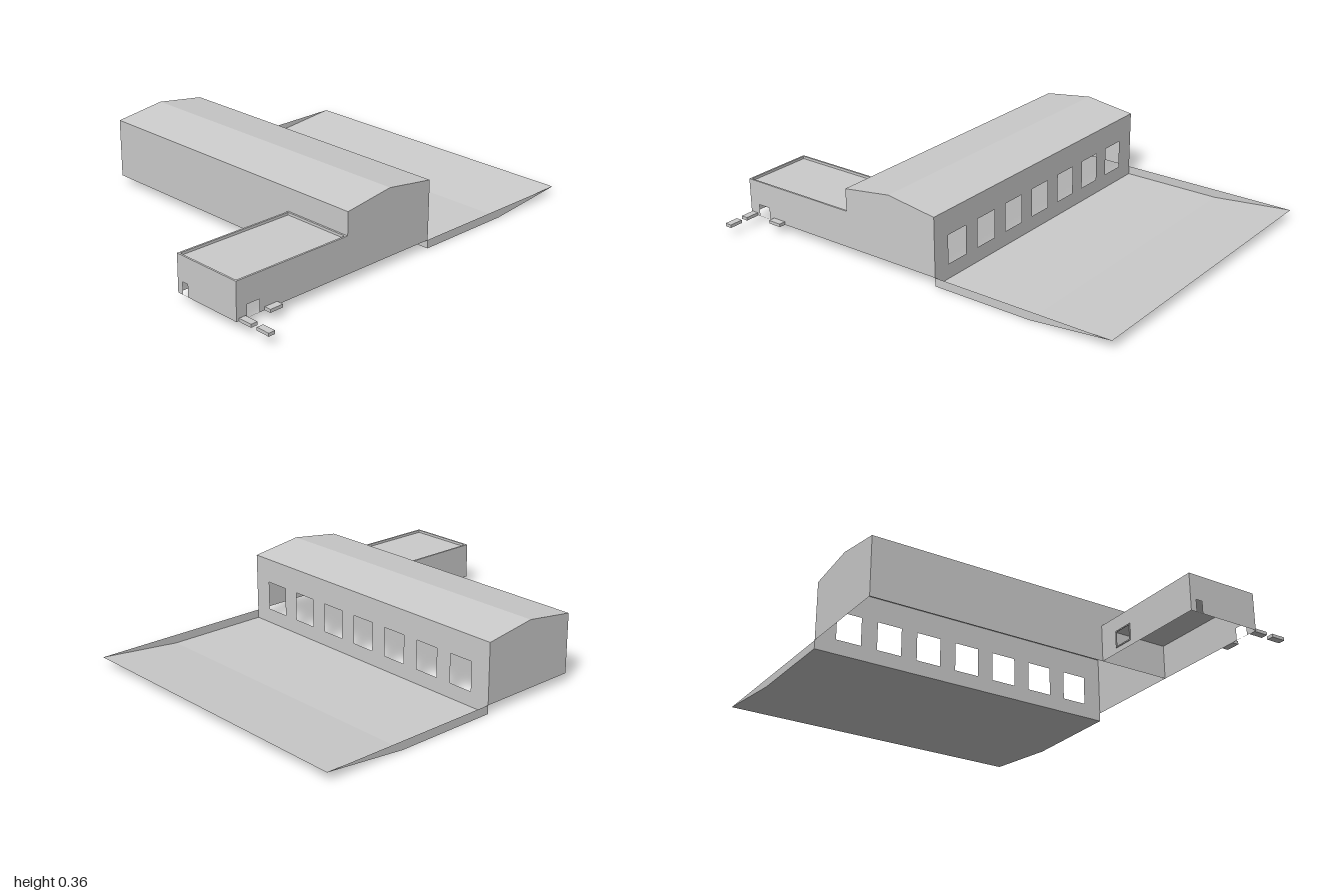
import * as THREE from 'three';

const X0 = -0.855, X1 = 0.677;            // hall and ramp width
const Z0 = -0.107, Z1 = 0.392;            // hall depth
const FLOOR = 0.04, EAVE = 0.323, RIDGE = 0.358;
const AX0 = 0.322, AZ1 = 1, AROOF = 0.203, ATOP = 0.215; // annex

const material = new THREE.MeshStandardMaterial({
  color: 0xcccccc, flatShading: true, side: THREE.DoubleSide,
});

export function createModel() {
  const model = new THREE.Group();

  const add = (parent, name, geometry) => {
    const mesh = new THREE.Mesh(geometry, material);
    mesh.name = name;
    parent.add(mesh);
    return mesh;
  };

  const group = (name) => {
    const g = new THREE.Group();
    g.name = name;
    model.add(g);
    return g;
  };

  const outline = (pts) => pts.map(([a, b]) => new THREE.Vector2(a, b));
  const rect = (a0, b0, a1, b1) => [[a0, b0], [a1, b0], [a1, b1], [a0, b1]];

  // Flat sheet with openings, drawn in (a, y)
  const sheet = (pts, holes = []) => {
    const shape = new THREE.Shape(outline(pts));
    holes.forEach((h) => shape.holes.push(new THREE.Path(outline(h))));
    return new THREE.ShapeGeometry(shape);
  };

  // Wall across the model at a given z, and wall along it at a given x
  const wallAtZ = (parent, name, z, pts, holes) =>
    add(parent, name, sheet(pts, holes).translate(0, 0, z));
  const wallAtX = (parent, name, x, pts, holes) =>
    add(parent, name, sheet(pts, holes).rotateY(-Math.PI / 2).translate(x, 0, 0));

  // Folded sheet: a (z, y) profile swept along x
  const foldedSheet = (profile) => {
    const geometry = new THREE.PlaneGeometry(1, 1, 1, profile.length - 1);
    const p = geometry.attributes.position;
    for (let i = 0; i < p.count; i++) {
      const [z, y] = profile[Math.floor(i / 2)];
      p.setXYZ(i, i % 2 ? X1 : X0, y, z);
    }
    const flat = geometry.toNonIndexed();
    flat.computeVertexNormals();
    return flat;
  };

  // Main hall with a shallow gabled roof, open underneath
  const hall = group('hall');
  const mid = (Z0 + Z1) / 2;
  const gable = [[Z0, EAVE], [mid, RIDGE], [Z1, EAVE]];
  const dockDoors = [];
  for (let i = 0; i < 7; i++) {
    const x = 0.525 - i * 0.203;
    dockDoors.push(rect(x - 0.061, 0.07, x + 0.061, 0.207));
  }
  add(hall, 'hallRoof', foldedSheet(gable));
  wallAtZ(hall, 'hallFrontWall', Z1, rect(X0, FLOOR, X1, EAVE));
  wallAtZ(hall, 'hallBackWall', Z0, rect(X0, FLOOR, X1, EAVE), dockDoors);
  for (const [name, x] of [['hallRightWall', X0], ['hallLeftWall', X1]]) {
    wallAtX(hall, name, x, [[Z1, FLOOR], [Z0, FLOOR], ...gable]);
  }

  // Sunken loading ramp behind the hall
  const ramp = group('loadingRamp');
  const slope = [[-1, FLOOR], [-0.6, 0], [Z0, 0]];
  add(ramp, 'rampFloor', foldedSheet(slope));
  wallAtZ(ramp, 'rampEndWall', Z0, rect(X0, 0, X1, FLOOR));
  for (const [name, x] of [['rampRightWall', X0], ['rampLeftWall', X1]]) {
    wallAtX(ramp, name, x, [...slope, [Z0, FLOOR]]);
  }

  // Flat-roofed annex at the front, open underneath
  const annex = group('annex');
  wallAtZ(annex, 'annexFrontWall', AZ1, rect(AX0, FLOOR, X1, AROOF),
    [rect(0.352, FLOOR + 0.001, 0.384, 0.098)]);
  wallAtX(annex, 'annexLeftWall', X1, rect(Z1, FLOOR, AZ1, AROOF),
    [rect(0.88, FLOOR + 0.001, 0.945, 0.098)]);
  const gate = rect(0.5, 0.07, 0.59, 0.14);
  wallAtX(annex, 'annexRightWall', AX0, rect(Z1, FLOOR, AZ1, AROOF), [gate]);
  add(annex, 'annexRoof', new THREE.PlaneGeometry(X1 - AX0, AZ1 - Z1)
    .rotateX(-Math.PI / 2).translate((AX0 + X1) / 2, AROOF, (Z1 + AZ1) / 2));

  // Parapet around the annex roof
  const t = 0.009;
  const parapet = new THREE.Shape(outline(rect(AX0, -AZ1, X1, -Z1)));
  parapet.holes.push(new THREE.Path(outline(rect(AX0 + t, -AZ1 + t, X1 - t, -Z1 - t))));
  add(annex, 'annexParapet', new THREE.ExtrudeGeometry(parapet,
    { depth: ATOP - AROOF, bevelEnabled: false }).rotateX(-Math.PI / 2).translate(0, AROOF, 0));

  // Thin surround of the side gate
  const surround = new THREE.Shape(outline(rect(0.495, 0.065, 0.595, 0.145)));
  surround.holes.push(new THREE.Path(outline(gate)));
  add(annex, 'gateSurround', new THREE.ExtrudeGeometry(surround,
    { depth: 0.005, bevelEnabled: false }).rotateY(-Math.PI / 2).translate(AX0, 0, 0));

  // Low slabs outside the annex door: [x0, x1, z0, z1]
  const slabs = group('entranceSlabs');
  for (const [x0, x1, z0, z1] of [
    [X1, 0.71, 0.785, 0.853],
    [0.681, 0.75, 0.957, 0.99],
    [0.782, 0.85, 0.957, 0.99],
  ]) {
    add(slabs, 'slab', new THREE.BoxGeometry(x1 - x0, 0.015, z1 - z0))
      .position.set((x0 + x1) / 2, FLOOR + 0.0075, (z0 + z1) / 2);
  }

  return model;
}
